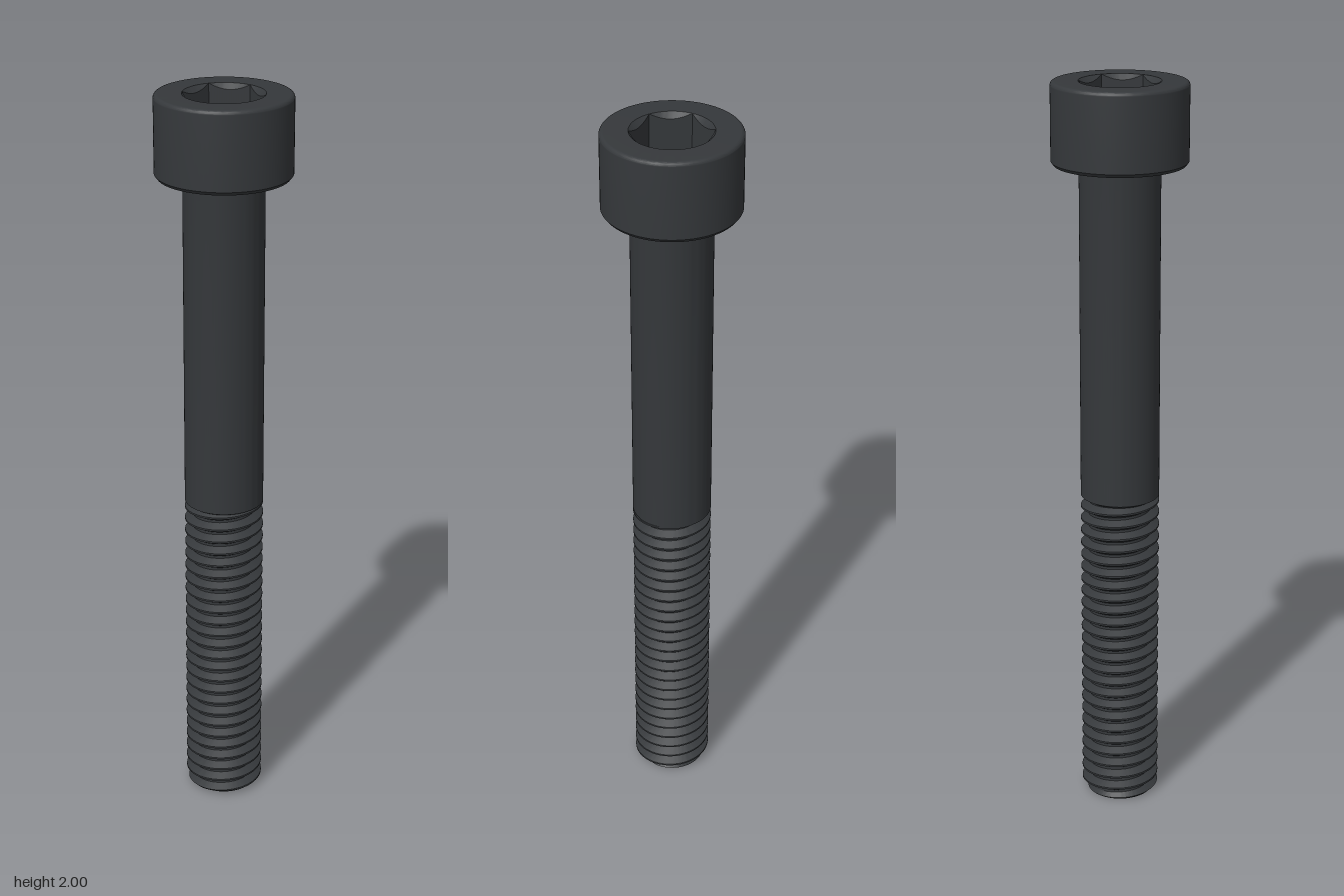
import * as THREE from 'three';
import { toCreasedNormals } from 'three/addons/utils/BufferGeometryUtils.js';

const SEG = 96;
const SHANK_R = 0.106, HEAD_R = 0.178, ROOT_R = 0.085;
const HEAD_Y = 1.787, TOP_Y = 2, THREAD_TOP = 0.885, PITCH = 0.0357;
const FLAT_R = 0.092, SOCKET_R = FLAT_R / Math.cos(Math.PI / 6), SOCKET_DEPTH = 0.11;

// Surface from closed rings: ringAt(row, phi) gives [radius, y]
function ringSurface(rows, ringAt) {
  const point = (i, j) => {
    const phi = (j / SEG) * Math.PI * 2;
    const [r, y] = ringAt(i, phi);
    return new THREE.Vector3(r * Math.sin(phi), y, r * Math.cos(phi));
  };
  const points = [];
  const addTriangle = (a, b, c) => {
    if (new THREE.Triangle(a, b, c).getArea() > 1e-9) points.push(a, b, c);
  };
  for (let i = 0; i < rows - 1; i++) {
    for (let j = 0; j < SEG; j++) {
      const a = point(i, j), b = point(i, j + 1), c = point(i + 1, j + 1), d = point(i + 1, j);
      addTriangle(a, b, c);
      addTriangle(a, c, d);
    }
  }
  return new THREE.BufferGeometry().setFromPoints(points);
}

// Quarter-round between two directions, as profile points
function fillet(cx, cy, radius, from, to, steps = 6) {
  return Array.from({ length: steps + 1 }, (_, k) => {
    const a = from + ((to - from) * k) / steps;
    return [cx + radius * Math.cos(a), cy + radius * Math.sin(a)];
  });
}

const lathe = (profile) => new THREE.LatheGeometry(profile.map(([x, y]) => new THREE.Vector2(x, y)), SEG);

// Thread radius for a phase of 0..1 along one pitch: root flat, flank, crest flat, flank
function threadRadius(phase) {
  const rise = THREE.MathUtils.clamp((phase - 0.2) / 0.33, 0, 1);
  const fall = THREE.MathUtils.clamp((1 - phase) / 0.33, 0, 1);
  return ROOT_R + (SHANK_R - ROOT_R) * Math.min(rise, fall);
}

// Right-handed helical thread with a chamfered, closed tip
function threadGeometry() {
  const kinks = [0, 0.2, 0.53, 0.67];
  const turns = Math.ceil(THREAD_TOP / PITCH) + 2;
  return ringSurface(turns * kinks.length + 1, (row, phi) => {
    if (row === 0) return [0, 0];
    const k = row - 1;
    const turn = phi / (Math.PI * 2);
    const height = (Math.floor(k / 4) - 1 + kinks[k % 4] + turn) * PITCH;
    const y = THREE.MathUtils.clamp(height, 0, THREAD_TOP);
    const phase = THREE.MathUtils.euclideanModulo(y / PITCH - turn, 1);
    return [Math.min(threadRadius(phase), 0.09 + y), y];
  });
}

// Hexagonal recess: conical lead-in, six walls, flat floor
function socketGeometry() {
  return ringSurface(4, (row, phi) => {
    const sector = Math.PI / 3;
    const local = THREE.MathUtils.euclideanModulo(phi + sector / 2, sector) - sector / 2;
    const hex = FLAT_R / Math.cos(local);
    return [
      [SOCKET_R, TOP_Y],
      [hex, TOP_Y - (SOCKET_R - hex)],
      [hex, TOP_Y - SOCKET_DEPTH],
      [0, TOP_Y - SOCKET_DEPTH],
    ][row];
  });
}

export function createModel() {
  const group = new THREE.Group();
  const material = new THREE.MeshStandardMaterial({ color: 0x35383b });
  const add = (name, geometry, crease = 0.4) => {
    const mesh = new THREE.Mesh(toCreasedNormals(geometry, crease), material);
    mesh.name = name;
    group.add(mesh);
  };

  add('thread', threadGeometry());

  // Plain shank, tapering into the thread and flaring slightly under the head
  add('shank', lathe([
    [ROOT_R, THREAD_TOP - 0.012],
    [SHANK_R, THREAD_TOP],
    [SHANK_R, HEAD_Y - 0.009],
    ...fillet(SHANK_R + 0.008, HEAD_Y - 0.008, 0.008, Math.PI, Math.PI / 2, 5),
  ]));

  // Head with a bevelled lower edge and a rounded upper rim
  const rim = 0.0107;
  add('head', lathe([
    [SHANK_R, HEAD_Y],
    [HEAD_R - 0.007, HEAD_Y],
    [HEAD_R, HEAD_Y + 0.009],
    [HEAD_R, TOP_Y - rim - 0.001],
    ...fillet(HEAD_R - rim, TOP_Y - rim, rim, 0, Math.PI / 2),
    [HEAD_R - rim - 0.001, TOP_Y],
    [SOCKET_R, TOP_Y],
  ]));

  add('hexSocket', socketGeometry());
  return group;
}
